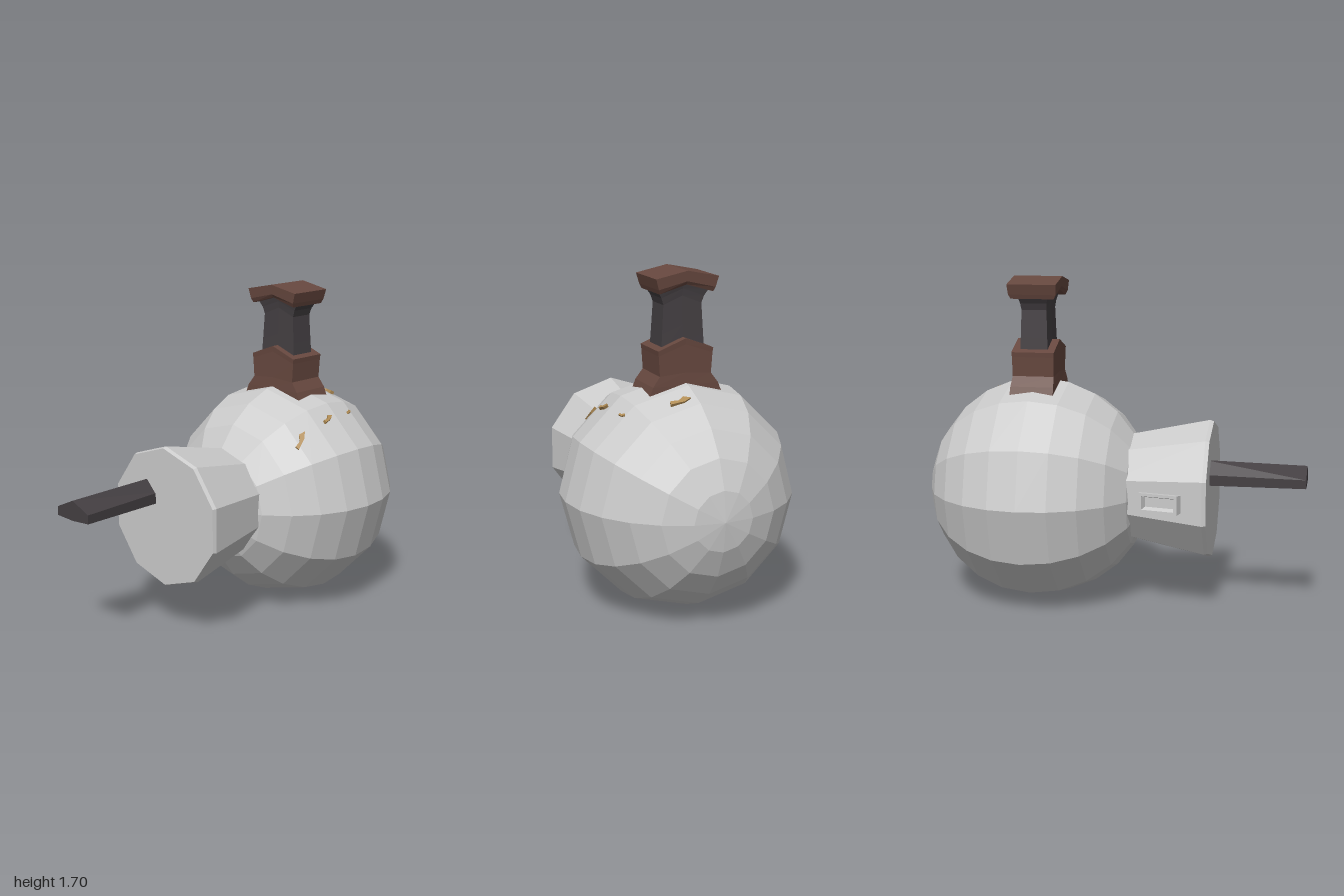
import * as THREE from 'three';

const mat = (color) => new THREE.MeshStandardMaterial({ color, flatShading: true });

// Skins a row of six-point rings (counter-clockwise seen from the far end) and caps both ends
function loft(rings) {
  const n = 6, pos = rings.flat(2), idx = [];
  for (let r = 0; r < rings.length - 1; r++) {
    for (let i = 0; i < n; i++) {
      const a = r * n + i, b = r * n + (i + 1) % n;
      idx.push(a, b, b + n, a, b + n, a + n);
    }
  }
  const last = (rings.length - 1) * n;
  for (const [a, b, c] of [[0, 1, 5], [1, 4, 5], [1, 2, 4], [2, 3, 4]]) {
    idx.push(c, b, a, last + a, last + b, last + c);
  }
  const g = new THREE.BufferGeometry();
  g.setAttribute('position', new THREE.Float32BufferAttribute(pos, 3));
  g.setIndex(idx);
  const flat = g.toNonIndexed();
  flat.computeVertexNormals();
  return flat;
}

// Upright block of levels [y, half x, half z, ridge rise at z = 0]
const ridged = (levels) => loft(levels.map(([y, x, z, rise = 0]) => [
  [x, y, z], [x, y + rise, 0], [x, y, -z], [-x, y, -z], [-x, y + rise, 0], [-x, y, z],
]));

export function createModel() {
  const group = new THREE.Group();
  const grey = mat(0xcccccc), brown = mat(0x67483f), dark = mat(0x443f42), tan = mat(0xb08c55);
  const add = (name, geometry, material, x = 0, y = 0, z = 0) => {
    const mesh = new THREE.Mesh(geometry, material);
    mesh.name = name;
    mesh.position.set(x, y, z);
    group.add(mesh);
    return mesh;
  };

  // Faceted ball with its poles on the x axis
  const centre = new THREE.Vector3(0.41, 0.59, 0);
  add('ball', new THREE.SphereGeometry(0.585, 12, 12).rotateZ(-Math.PI / 2), grey, ...centre);

  // Ten-sided tapering collar with a thin bevelled rim
  const collar = [[0, -0.51], [0.36, -0.51], [0.367, -0.49], [0.263, 0]].map((p) => new THREE.Vector2(...p));
  add('collar', new THREE.LatheGeometry(collar, 10).rotateZ(-Math.PI / 2).rotateX(-Math.PI / 2), grey, 0, 0.61, 0);

  // Side arm, widening toward its free end
  const armRing = (x, w, lo, hi, top, bottom) =>
    [[w, lo], [w, hi], [0, top], [-w, hi], [-w, lo], [0, bottom]].map(([z, y]) => [x, y, z]);
  add('sideArm', loft([
    armRing(-0.48, 0.06, 0.67, 0.725, 0.79, 0.665),
    armRing(-1, 0.112, 0.685, 0.73, 0.78, 0.678),
  ]), dark, 0, 0, -0.122);

  // Upright handle: ridged foot, waisted grip and ridged cap
  add('handleFoot', ridged([
    [1.08, 0.115, 0.2], [1.15, 0.113, 0.172], [1.2, 0.109, 0.135, 0.01],
    [1.3, 0.11, 0.142, 0.05], [1.325, 0.112, 0.145, 0.055],
  ]), brown, 0.417);
  add('handleGrip', ridged([
    [1.3, 0.074, 0.114, 0.03], [1.4, 0.07, 0.108, 0.04], [1.54, 0.066, 0.1, 0.04],
    [1.575, 0.07, 0.112, 0.04], [1.61, 0.078, 0.135, 0.04],
  ]), dark, 0.417);
  add('handleCap', ridged([
    [1.6, 0.113, 0.14, 0.04], [1.622, 0.124, 0.148, 0.035], [1.675, 0.128, 0.163, 0.033],
  ]), brown, 0.417);

  // Flared socket on the back of the collar, hollowed at its mouth
  const socket = ridged([
    [-0.03, 0.075, 0.03], [0.025, 0.075, 0.03], [0.035, 0.11, 0.045], [0.075, 0.102, 0.05],
    [0.075, 0.085, 0.035], [0.045, 0.075, 0.025],
  ]).rotateX(-Math.PI / 2).rotateY(-0.19);
  add('socket', socket, grey, -0.285, 0.61, -0.305);

  // Jagged chips lying on the ball: [position, long direction, length, width]
  const chips = [
    [[0.14, 0.95, 0.345], [0.75, 0.65, -0.1], 0.11, 0.045],
    [[0.345, 1.03, 0.355], [1, 0.25, -0.1], 0.075, 0.035],
    [[0.54, 1.03, 0.335], [1, 0.2, 0], 0.04, 0.025],
    [[0.65, 1.1, 0.08], [0.15, 0.3, -1], 0.11, 0.05],
  ];
  for (const [p, dir, length, width] of chips) {
    const at = new THREE.Vector3(...p);
    const up = at.clone().sub(centre).normalize();
    const side = new THREE.Vector3(...dir).cross(up).normalize();
    const along = up.clone().cross(side);
    const outline = [[-0.5, -0.3], [0.15, -0.25], [0.5, 0.1], [0.2, 0.5], [-0.1, 0.05], [-0.45, 0.2]];
    const shape = new THREE.Shape(outline.map(([u, v]) => new THREE.Vector2(u * length, v * width)));
    const geo = new THREE.ExtrudeGeometry(shape, { depth: 0.018, bevelEnabled: false }).translate(0, 0, -0.009);
    const basis = new THREE.Matrix4().makeBasis(along, up.clone().cross(along), up);
    add('chip', geo.applyMatrix4(basis), tan, ...at);
  }
  return group;
}
